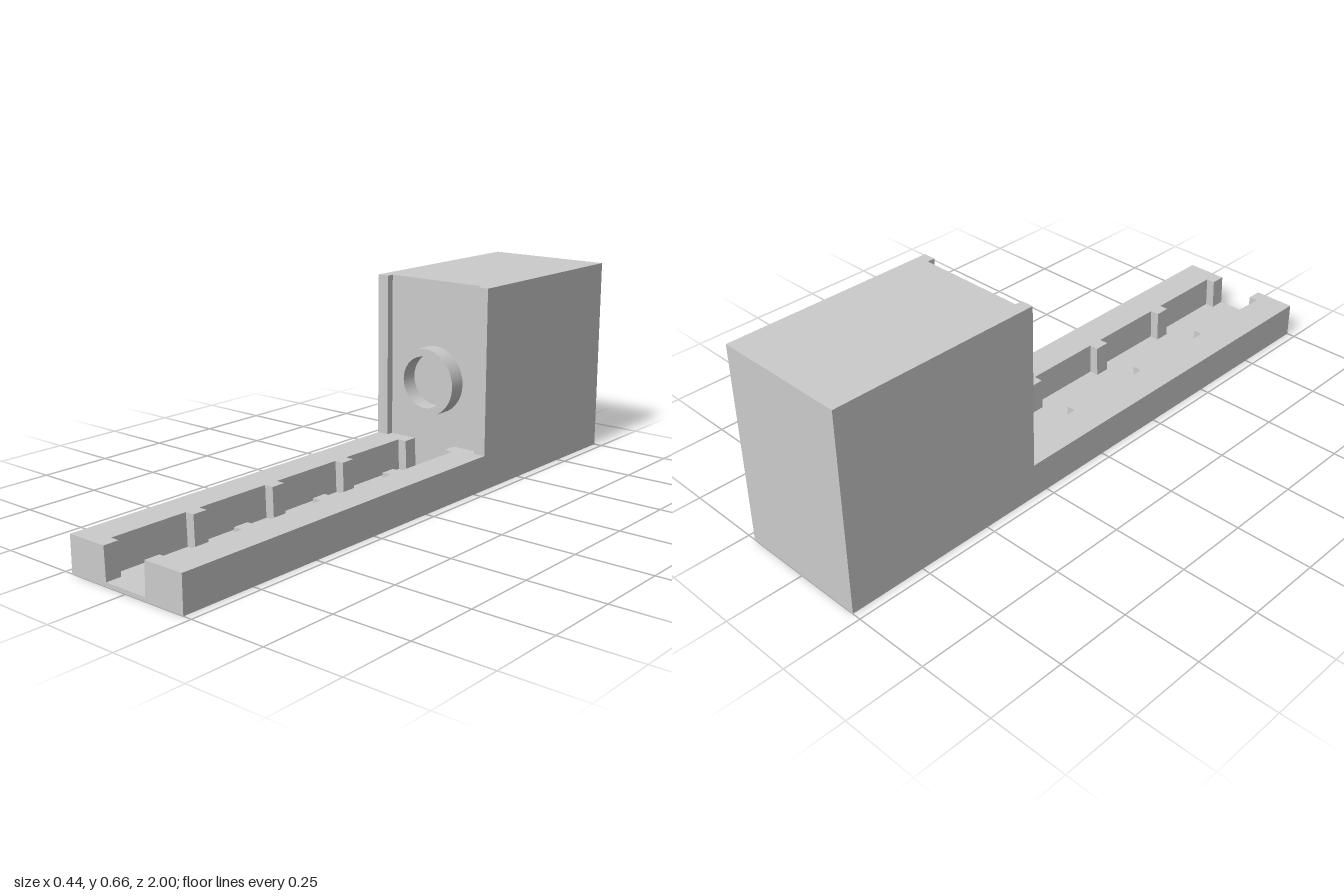
import * as THREE from 'three';

const W = 0.221, FLOOR = 0.013, BASE = 0.116, TOP = 0.66;
const WALL = -0.33, LIP = -0.305, BACK = -1, FRONT = 1;
const RIB = 0.081, POCKET = 0.112, RIB_W = 0.051;

const material = new THREE.MeshStandardMaterial({ color: 0xcccccc });

function add(group, name, geometry) {
  const mesh = new THREE.Mesh(geometry, material);
  mesh.name = name;
  group.add(mesh);
  return mesh;
}

function box(x0, x1, y0, y1, z0, z1) {
  return new THREE.BoxGeometry(x1 - x0, y1 - y0, z1 - z0)
    .translate((x0 + x1) / 2, (y0 + y1) / 2, (z0 + z1) / 2);
}

// Extrude a plan outline of [x, z] points upward from y0 to y1.
function extrudePlan(points, y0, y1) {
  const shape = new THREE.Shape(points.map(([x, z]) => new THREE.Vector2(x, -z)));
  return new THREE.ExtrudeGeometry(shape, { depth: y1 - y0, bevelEnabled: false })
    .rotateX(-Math.PI / 2).translate(0, y0, 0);
}

// Side rail whose inner edge steps in at five evenly spaced ribs.
function railGeometry(side) {
  const points = [[side * W, FRONT], [side * W, WALL]];
  const pitch = (FRONT - RIB_W - WALL) / 4;
  for (let i = 0; i < 5; i++) {
    const z = WALL + i * pitch;
    if (i > 0) points.push([side * POCKET, z]);
    points.push([side * RIB, z], [side * RIB, z + RIB_W]);
    if (i < 4) points.push([side * POCKET, z + RIB_W]);
  }
  const geometry = extrudePlan(points, FLOOR, BASE);
  // Slight draft: the channel narrows towards its floor.
  const p = geometry.attributes.position;
  for (let i = 0; i < p.count; i++) {
    if (Math.abs(p.getX(i)) < W - 0.01 && p.getY(i) < FLOOR + 0.001) {
      p.setX(i, p.getX(i) - side * 0.003);
    }
  }
  geometry.computeVertexNormals();
  return geometry;
}

export function createModel() {
  const model = new THREE.Group();
  model.name = 'slottedBaseWithBlock';

  // Base: thin floor and two notched rails
  add(model, 'channelFloor', box(-W, W, 0, FLOOR, WALL, FRONT));
  for (const side of [-1, 1]) {
    add(model, side > 0 ? 'leftRail' : 'rightRail', railGeometry(side));
  }

  // Tall block: lower body, and upper body with a shallow recess between two lips
  add(model, 'blockLower', box(-W, W, 0, BASE, BACK, WALL));
  const lip = 0.18;
  add(model, 'blockUpper', extrudePlan([
    [-W, BACK], [-W, LIP], [-lip, LIP], [-lip, WALL],
    [lip, WALL], [lip, LIP], [W, LIP], [W, BACK],
  ], BASE, TOP));

  // Round collar on the recessed face
  const r0 = 0.086, r1 = 0.112, depth = 0.057;
  const ring = new THREE.Shape().absarc(0, 0, r1, 0, Math.PI * 2);
  ring.holes.push(new THREE.Path().absarc(0, 0, r0, 0, Math.PI * 2, true));
  const collar = add(model, 'collar', new THREE.ExtrudeGeometry(ring, {
    depth, bevelEnabled: false, curveSegments: 18,
  }));
  // Smooth the round walls, keep the flat faces sharp
  const { position, normal } = collar.geometry.attributes;
  for (let i = 0; i < position.count; i++) {
    if (Math.abs(normal.getZ(i)) > 0.5) continue;
    const x = position.getX(i), y = position.getY(i), r = Math.hypot(x, y);
    const sign = r > (r0 + r1) / 2 ? 1 : -1;
    normal.setXYZ(i, sign * x / r, sign * y / r, 0);
  }
  collar.position.set(0, 0.331, WALL);

  return model;
}
